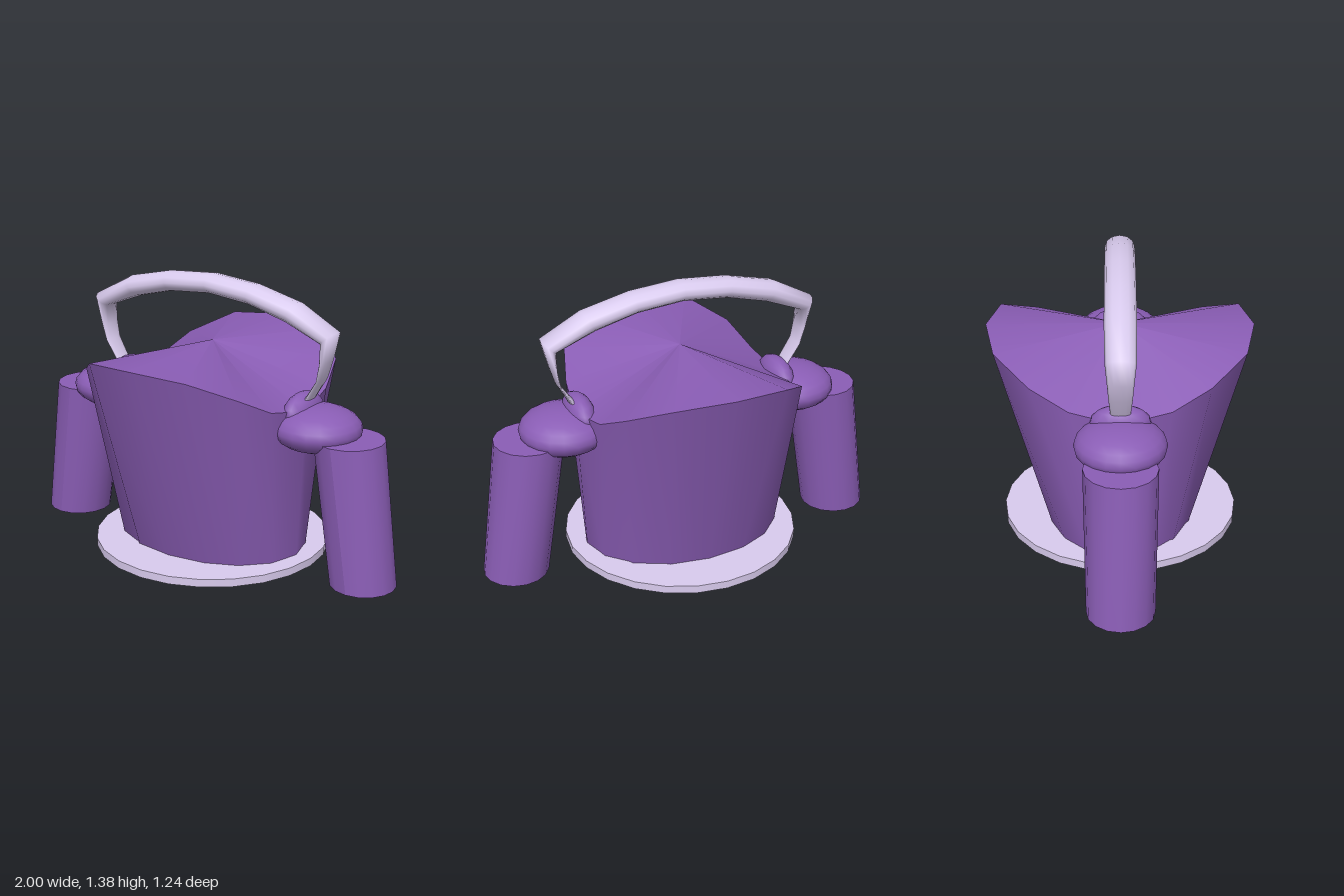
import * as THREE from 'three';

const purple = new THREE.MeshStandardMaterial({ color: 0x8a5db5, side: THREE.DoubleSide });
const lavender = new THREE.MeshStandardMaterial({ color: 0xd9cbee, side: THREE.DoubleSide });

// Skin a list of closed cross-sections, each an array of [x, y, z]
function loft(rings) {
  const n = rings[0].length, index = [];
  for (let i = 0; i < rings.length - 1; i++) {
    for (let j = 0; j < n; j++) {
      const k = (j + 1) % n;
      const a = i * n + j, b = i * n + k, c = a + n, d = b + n;
      index.push(a, b, c, b, d, c);
    }
  }
  const g = new THREE.BufferGeometry();
  g.setAttribute('position', new THREE.Float32BufferAttribute(rings.flat(2), 3));
  g.setIndex(index);
  g.computeVertexNormals();
  return g;
}

function add(parent, name, geometry, material) {
  const m = new THREE.Mesh(geometry, material);
  m.name = name;
  parent.add(m);
  return m;
}

export function createModel() {
  const model = new THREE.Group();
  model.name = 'bucketFigure';

  // Body: oval foot flaring to a rim that peaks front and back, dips at the sides
  const quarter = [[0, 1.055, 0.622], [0.27, 1.035, 0.57], [0.43, 0.945, 0.405], [0.485, 0.855, 0.23], [0.522, 0.81, 0]];
  const rim = [], foot = [];
  for (let j = 0; j < 16; j++) {
    const q = j % 8, t = (j / 16) * Math.PI * 2;
    const [x, y, z] = quarter[q <= 4 ? q : 8 - q];
    rim.push([j <= 8 ? x : -x, y, j < 4 || j > 12 ? z : -z]);
    foot.push([0.48 * Math.sin(t), 0, 0.33 * Math.cos(t)]);
  }
  add(model, 'body', loft([foot, rim]), purple);
  add(model, 'bodyTop', loft([rim, rim.map(() => [0, 1.062, 0])]), purple);
  add(model, 'bodyBottom', loft([foot.map(() => [0, 0, 0]), foot]), purple);

  // Thin disc around the foot
  add(model, 'baseDisc', new THREE.CylinderGeometry(0.563, 0.563, 0.038, 24), lavender).position.y = 0.076;

  // Carrying handle: outer xy, inner xy and half depth of each section
  const half = [
    [0, 1.38, 0, 1.285, 0.072],
    [0.24, 1.36, 0.22, 1.265, 0.072],
    [0.475, 1.305, 0.42, 1.213, 0.072],
    [0.672, 1.2, 0.605, 1.14, 0.068],
    [0.635, 1.06, 0.606, 1.05, 0.058],
    [0.606, 0.97, 0.594, 0.975, 0.052],
    [0.53, 0.83, 0.5, 0.84, 0.042],
  ];
  const left = half.slice(1).reverse().map(([a, b, c, d, w]) => [-a, b, -c, d, w]);
  const sections = [...left, ...half].map(([ox, oy, ix, iy, w]) =>
    Array.from({ length: 12 }, (_, j) => {
      const t = (j / 12) * Math.PI * 2, c = Math.cos(t) / 2;
      return [(ox + ix) / 2 + c * (ox - ix), (oy + iy) / 2 + c * (oy - iy), w * Math.sin(t)];
    }));
  add(model, 'handle', loft(sections), lavender);

  // Shoulders and hanging arms, mirrored
  for (const s of [1, -1]) {
    const side = s > 0 ? 'left' : 'right';

    const shoulder = add(model, side + 'Shoulder', new THREE.SphereGeometry(1, 20, 12), purple);
    shoulder.scale.set(0.21, 0.105, 0.208);
    shoulder.position.set(s * 0.58, 0.745, 0);

    const mount = add(model, side + 'HandleMount', new THREE.SphereGeometry(1, 14, 8), purple);
    mount.scale.set(0.07, 0.09, 0.14);
    mount.position.set(s * 0.505, 0.81, 0);

    // Arm: a cylinder sheared outward so its ends stay level
    const arm = new THREE.CylinderGeometry(0.165, 0.155, 0.68, 16);
    arm.applyMatrix4(new THREE.Matrix4().makeShear(0, 0, -s * 0.14, 0, 0, 0));
    arm.computeVertexNormals();
    add(model, side + 'Arm', arm, purple).position.set(s * 0.797, 0.385, 0);
  }
  return model;
}
